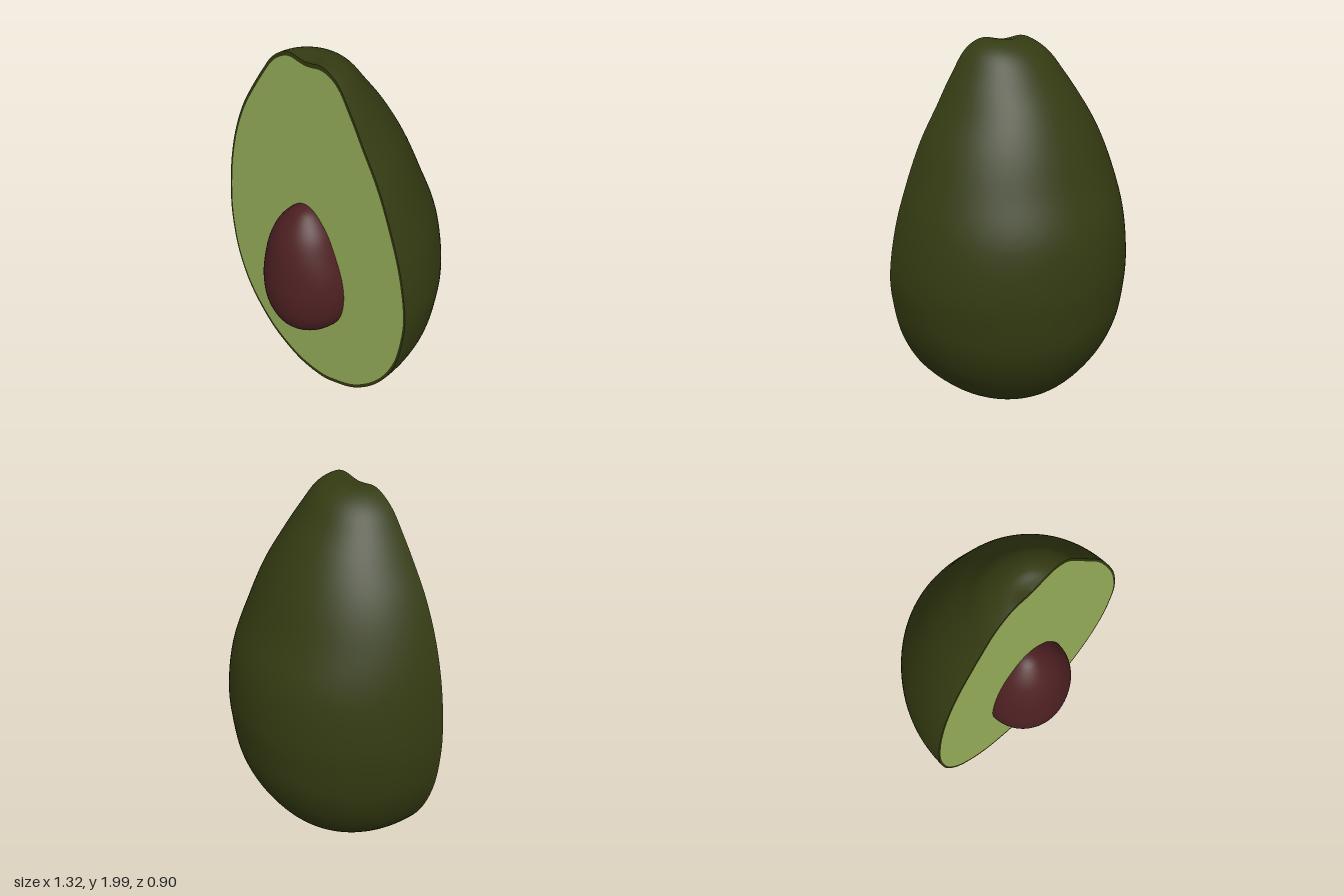
import * as THREE from 'three';

const CUT = 0.22; // z of the flat cut face

// Smooth rows of [y, radius towards -x, radius towards +x, depth], from bottom to top
function smoothRows(rows, n) {
  const side = new THREE.CatmullRomCurve3(rows.map(r => new THREE.Vector3(r[1], r[0], r[2])));
  const depth = new THREE.CatmullRomCurve3(rows.map(r => new THREE.Vector3(r[3], r[0], 0)));
  return Array.from({ length: n + 1 }, (_, i) => {
    const p = side.getPoint(i / n);
    return [p.y, Math.max(0, p.x), Math.max(0, p.z), Math.max(0, depth.getPoint(i / n).x)];
  });
}

// Half of a rounded body, bulging from the cut plane in direction dir along z
function halfShell(rows, axis, dir, tilt, segments = 64) {
  const pos = [], index = [], w = segments + 1;
  rows.forEach(([y, l, r, d], i) => {
    for (let j = 0; j <= segments; j++) {
      const v = j / segments, a = Math.PI * (dir < 0 ? v : 1 - v), c = Math.cos(a);
      const x = axis + c * (c > 0 ? r : l);
      pos.push(x, y + tilt(x - axis, y), CUT + dir * Math.sin(a) * d);
      if (i < rows.length - 1 && j < segments) {
        const p = i * w + j;
        index.push(p, p + 1, p + w, p + 1, p + w + 1, p + w);
      }
    }
  });
  const g = new THREE.BufferGeometry();
  g.setAttribute('position', new THREE.Float32BufferAttribute(pos, 3));
  g.setIndex(index);
  g.computeVertexNormals();
  return g;
}

export function createModel() {
  const group = new THREE.Group();
  const add = (name, geometry, color) => {
    const mesh = new THREE.Mesh(geometry, new THREE.MeshStandardMaterial({ color }));
    mesh.name = name;
    group.add(mesh);
    return mesh;
  };
  const SKIN = 0x343b12, FLESH = 0x9ab25b, SEED = 0x4d2022;

  // Skin: pear-shaped half with a small dimple where the stem was
  const axis = -0.02;
  const rows = smoothRows([
    [0.005, 0, 0, 0], [0.012, 0.09, 0.09, 0.09], [0.037, 0.18, 0.17, 0.19], [0.12, 0.34, 0.34, 0.36],
    [0.3, 0.51, 0.52, 0.52], [0.5, 0.6, 0.625, 0.62], [0.7, 0.635, 0.67, 0.655], [0.85, 0.64, 0.68, 0.665],
    [1.1, 0.615, 0.64, 0.64], [1.33, 0.56, 0.565, 0.555], [1.53, 0.48, 0.48, 0.475], [1.7, 0.38, 0.38, 0.385],
    [1.82, 0.3, 0.31, 0.3], [1.93, 0.22, 0.23, 0.215], [1.98, 0.15, 0.155, 0.14], [1.991, 0.1, 0.1, 0.09],
    [1.982, 0.04, 0.04, 0.04], [1.977, 0, 0, 0]
  ], 102);
  const tilt = (dx, y) => 0.07 * dx * THREE.MathUtils.smoothstep(y, 1.85, 1.99);
  add('skin', halfShell(rows, axis, -1, tilt), SKIN);

  // Outline of the cut, counter-clockwise, and the same line moved inwards
  const right = rows.map(([y, , r]) => new THREE.Vector2(axis + r, y + tilt(r, y)));
  const left = rows.map(([y, l]) => new THREE.Vector2(axis - l, y + tilt(-l, y)));
  const outer = [...right, ...left.slice(1, -1).reverse()];
  const inner = outer.map((p, i) => {
    const n = outer.length;
    const t = outer[(i + 1) % n].clone().sub(outer[(i + n - 1) % n]).normalize();
    const inset = 0.012 + 0.011 * t.x * t.x;
    return new THREE.Vector2(p.x - t.y * inset, p.y + t.x * inset);
  });

  // Cut edge of the skin
  const rim = new THREE.Shape(outer);
  rim.holes.push(new THREE.Path(inner));
  add('skinRim', new THREE.ShapeGeometry(rim), SKIN).position.z = CUT;

  // Flat flesh face
  add('flesh', new THREE.ShapeGeometry(new THREE.Shape(inner)), FLESH).position.z = CUT;

  // Seed: egg-shaped half standing out of the flesh
  const seedRows = smoothRows([
    [0.4, 0, 0, 0], [0.412, 0.08, 0.08, 0.09], [0.46, 0.16, 0.17, 0.165], [0.57, 0.225, 0.242, 0.217],
    [0.7, 0.243, 0.265, 0.23], [0.82, 0.232, 0.25, 0.218], [0.95, 0.2, 0.2, 0.19], [1.05, 0.15, 0.148, 0.143],
    [1.13, 0.07, 0.07, 0.07], [1.15, 0.03, 0.03, 0.03], [1.155, 0, 0, 0]
  ], 60);
  add('seed', halfShell(seedRows, -0.03, 1, () => 0), SEED);

  return group;
}
